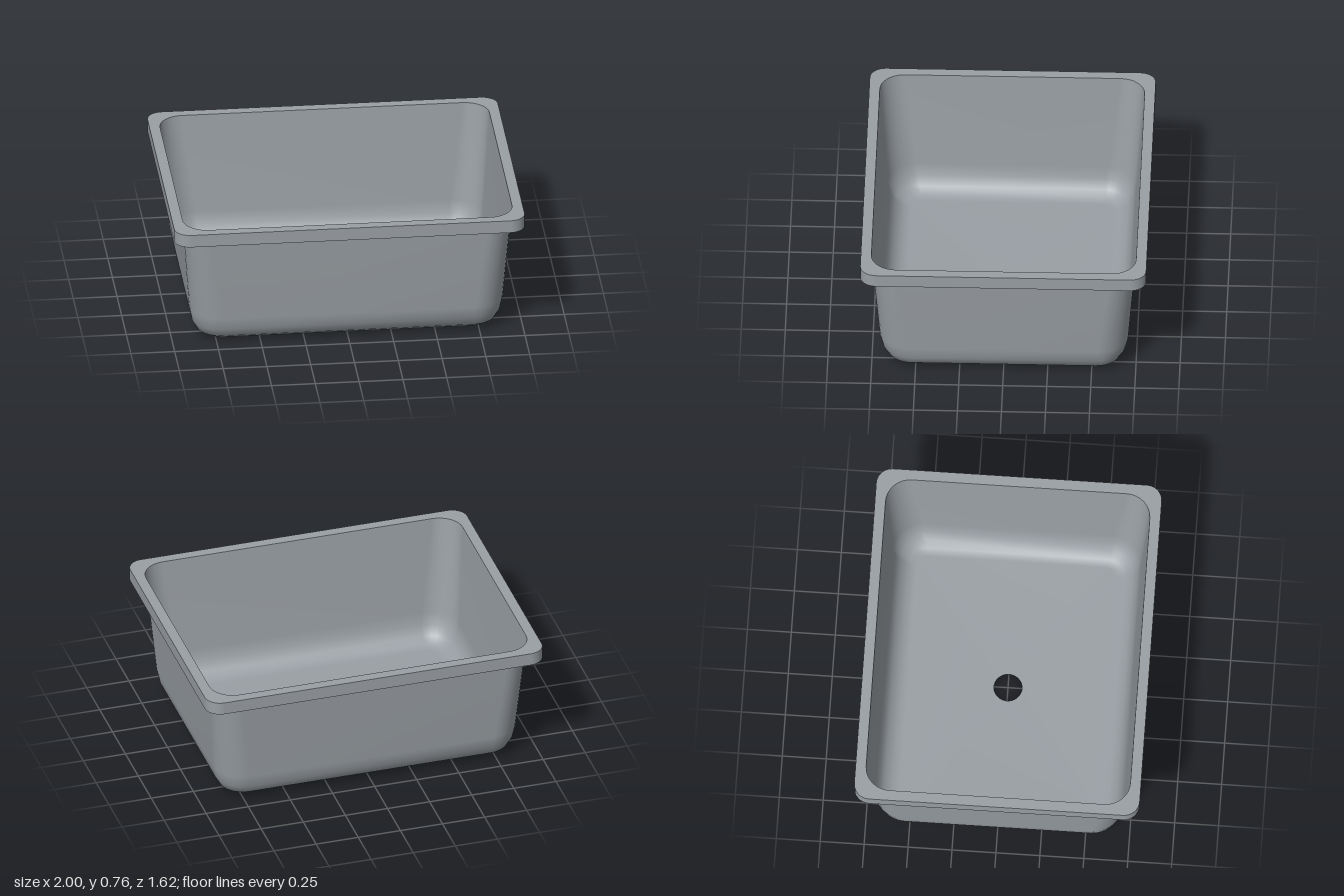
import * as THREE from 'three';

const CORNER_STEPS = 8;

// Rounded rectangle loop: half width, half depth, corner radius, height
function ring([hx, hz, r, y]) {
  const points = [];
  for (let corner = 0; corner < 4; corner++) {
    const sx = corner === 0 || corner === 3 ? 1 : -1;
    const sz = corner < 2 ? 1 : -1;
    for (let i = 0; i <= CORNER_STEPS; i++) {
      const a = (corner + i / CORNER_STEPS) * Math.PI / 2;
      points.push(sx * (hx - r) + r * Math.cos(a), y, sz * (hz - r) + r * Math.sin(a));
    }
  }
  return points;
}

// Skin a list of rings into one smooth surface
function loft(rings) {
  const n = 4 * (CORNER_STEPS + 1);
  const index = [];
  for (let k = 0; k < rings.length - 1; k++) {
    for (let j = 0; j < n; j++) {
      const a = k * n + j, b = k * n + (j + 1) % n;
      index.push(a, b, a + n, b, b + n, a + n);
    }
  }
  const geometry = new THREE.BufferGeometry();
  geometry.setAttribute('position', new THREE.Float32BufferAttribute(rings.flatMap(ring), 3));
  geometry.setIndex(index);
  geometry.computeVertexNormals();
  return geometry;
}

export function createModel() {
  const group = new THREE.Group();
  group.name = 'basin';
  const steel = new THREE.MeshStandardMaterial({ color: 0x999fa4, side: THREE.DoubleSide });
  steel.name = 'grey steel';

  const add = (name, rings) => {
    const mesh = new THREE.Mesh(loft(rings), steel);
    mesh.name = name;
    group.add(mesh);
  };

  // Floor with drain hole, rounded lower edge and tapered walls
  add('bowl', [
    [0.08, 0.08, 0.08, 0],
    [0.76, 0.57, 0.07, 0.004],
    [0.805, 0.615, 0.10, 0.013],
    [0.85, 0.66, 0.135, 0.042],
    [0.88, 0.69, 0.16, 0.095],
    [0.895, 0.707, 0.17, 0.17],
    [0.94, 0.752, 0.14, 0.757],
  ]);

  // Flat rim around the opening
  add('rim', [
    [0.94, 0.752, 0.14, 0.757],
    [1, 0.812, 0.09, 0.757],
  ]);

  // Turned-down outer edge, open underneath
  add('rimSkirt', [
    [1, 0.812, 0.09, 0.757],
    [1, 0.812, 0.09, 0.682],
  ]);

  return group;
}
